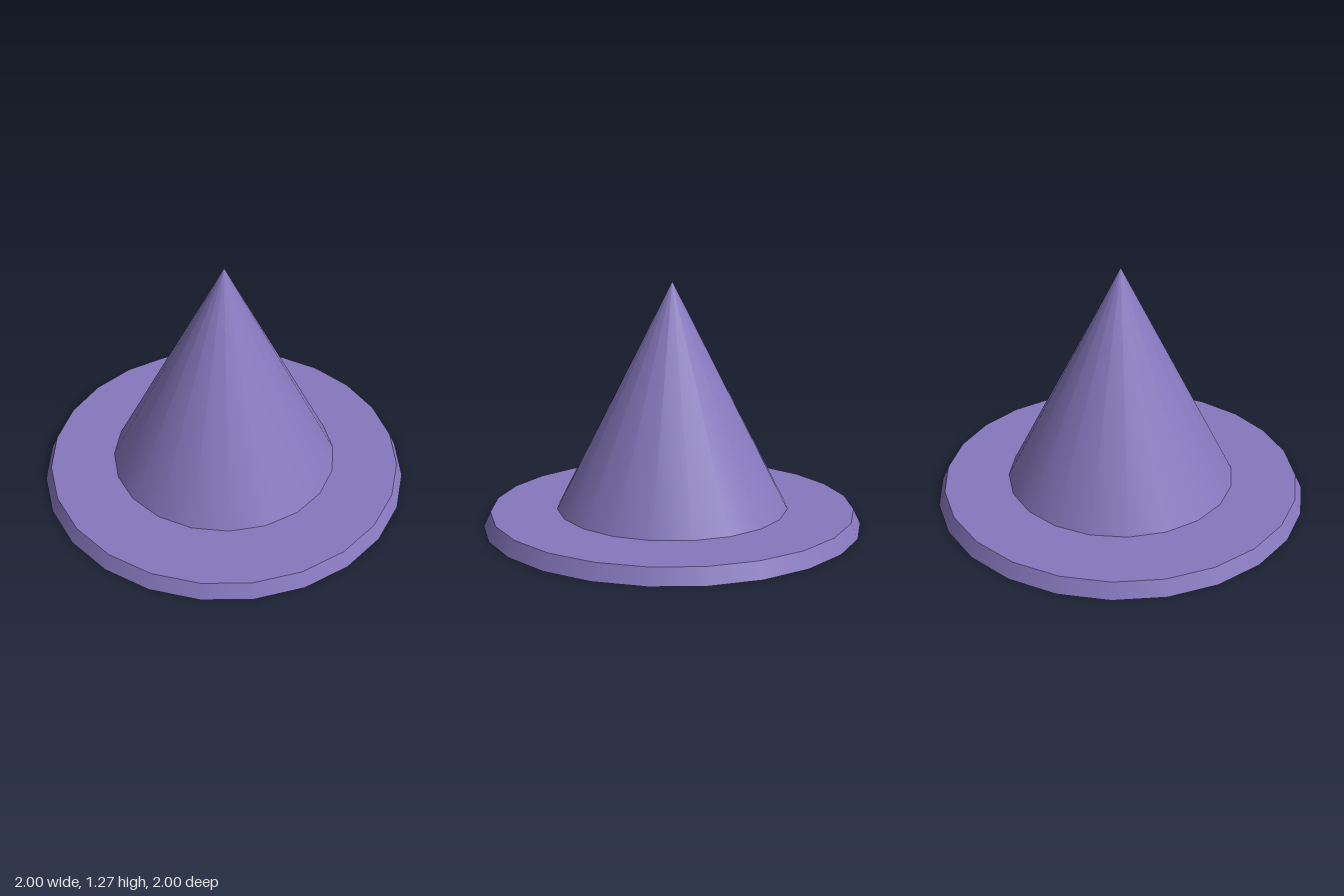
import * as THREE from 'three';

export function createModel() {
  const group = new THREE.Group();
  group.name = 'pointedHat';
  const purple = new THREE.MeshStandardMaterial({ color: 0x8578bd });
  purple.name = 'purple';

  const brimHeight = 0.077;
  const crownHeight = 1.19;

  // Flat brim with a slightly sloping rim
  const brim = new THREE.Mesh(new THREE.CylinderGeometry(0.963, 1, brimHeight, 24), purple);
  brim.name = 'brim';
  brim.position.y = brimHeight / 2;

  // Pointed crown, open where it meets the brim
  const crown = new THREE.Mesh(new THREE.ConeGeometry(0.616, crownHeight, 20, 1, true), purple);
  crown.name = 'crown';
  crown.position.y = brimHeight + crownHeight / 2;

  group.add(brim, crown);
  return group;
}
